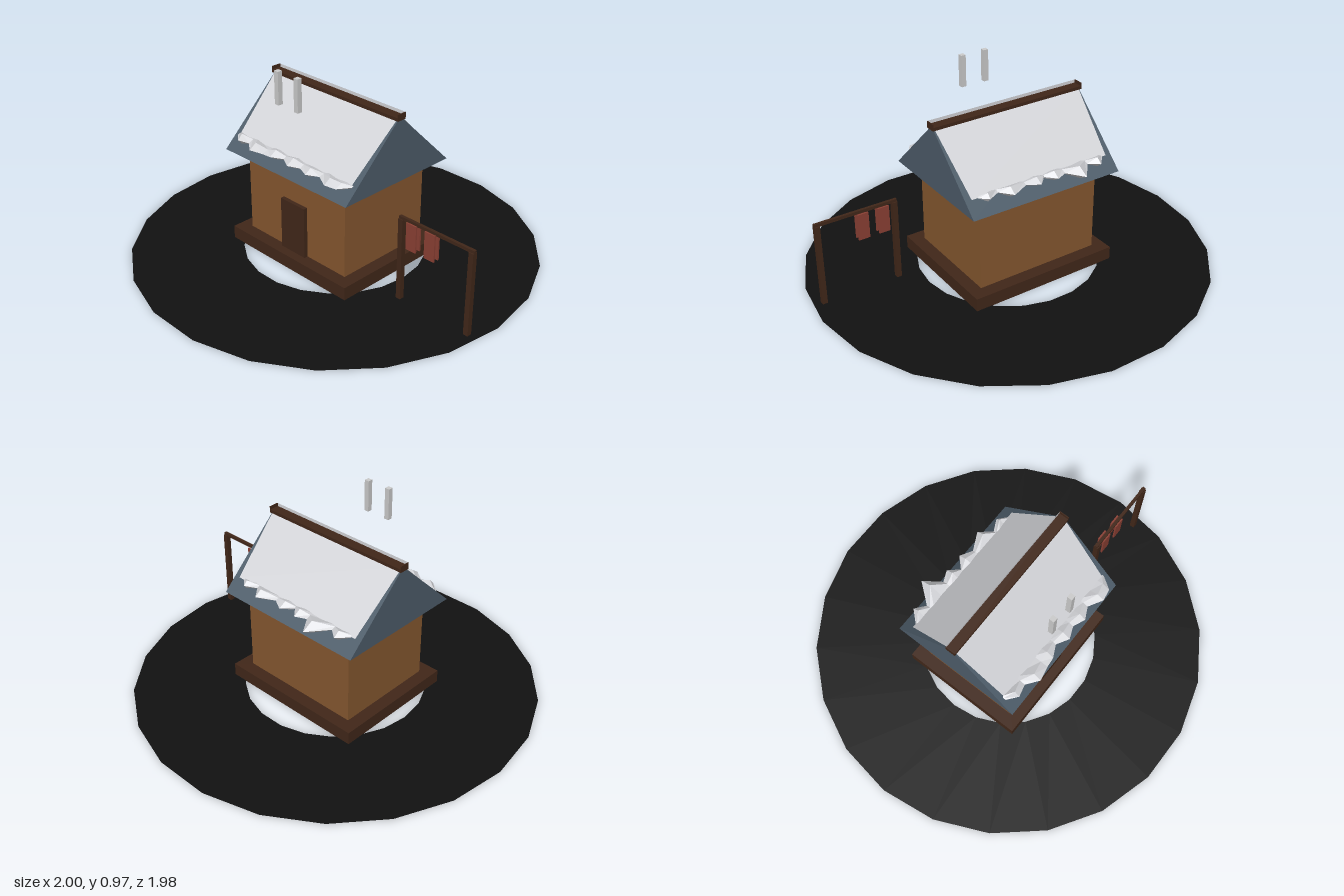
import * as THREE from 'three';

const mat = (color, side = THREE.FrontSide) =>
  new THREE.MeshStandardMaterial({ color, side, flatShading: true });

export function createModel() {
  const model = new THREE.Group();
  const darkWood = mat(0x412719), wall = mat(0x85572f), slate = mat(0x4d5c69);
  const snow = mat(0xd4d5d9, THREE.DoubleSide), meat = mat(0x8b4034);

  const add = (name, geometry, material) => {
    const mesh = new THREE.Mesh(geometry, material);
    mesh.name = name;
    model.add(mesh);
    return mesh;
  };
  // Box given by its min and max on each axis
  const box = (name, material, x0, x1, y0, y1, z0, z1) =>
    add(name, new THREE.BoxGeometry(x1 - x0, y1 - y0, z1 - z0), material)
      .position.set((x0 + x1) / 2, (y0 + y1) / 2, (z0 + z1) / 2);
  const surface = (points, index) => {
    const g = new THREE.BufferGeometry();
    g.setAttribute('position', new THREE.Float32BufferAttribute(points.flat(), 3));
    g.setIndex(index);
    g.computeVertexNormals();
    return g;
  };

  // Flat ground ring
  add('groundRing', new THREE.RingGeometry(0.45, 1, 22, 1).rotateX(-Math.PI / 2),
    mat(0x111111, THREE.DoubleSide)).position.y = 0.001;

  // House body
  box('plinth', darkWood, -0.387, 0.387, 0, 0.066, -0.325, 0.325);
  box('walls', wall, -0.323, 0.323, 0.066, 0.49, -0.26, 0.26);
  box('door', darkWood, -0.08, 0.077, 0.066, 0.328, 0.255, 0.28);

  // Gabled roof: a solid triangular prism along x
  const gable = new THREE.Shape([[-0.337, 0.49], [0.337, 0.49], [0, 0.812]]
    .map(([z, y]) => new THREE.Vector2(z, y)));
  add('roof', new THREE.ExtrudeGeometry(gable, { depth: 0.806, bevelEnabled: false })
    .translate(0, 0, -0.403).rotateY(Math.PI / 2), slate);

  // Ridge beam with a shallow snow-lined trough
  box('ridgeBeam', darkWood, -0.41, 0.41, 0.796, 0.812, -0.025, 0.025);
  const liner = mat(0xd4d5d9);
  for (const s of [-1, 1]) {
    const lip = add('ridgeSnow', new THREE.PlaneGeometry(0.82, 0.016), liner);
    lip.position.set(0, 0.82, s * 0.025);
    lip.rotation.y = s > 0 ? Math.PI : 0;
    box('ridgeEnd', darkWood, s * 0.409 - 0.002, s * 0.409 + 0.002, 0.796, 0.828, -0.025, 0.025);
  }

  // Snow sheet on each slope, tapering to the eave
  for (const s of [-1, 1]) {
    add('snowSheet', surface([
      [-0.4, 0.812, s * 0.005], [0.4, 0.812, s * 0.005],
      [0.372, 0.556, s * 0.273], [-0.372, 0.556, s * 0.273],
    ], s > 0 ? [0, 2, 1, 0, 3, 2] : [0, 1, 2, 0, 2, 3]), snow);
  }

  // Jagged snow along each eave: diamond sections swept along x, [x, reach, height]
  const drift = (s, stations) => {
    const points = [], index = [];
    stations.forEach(([x, reach, h], i) => {
      const inner = 0.255 + 0.012 * Math.sin(i * 2.4);
      points.push(
        [x, 0.56, s * inner],
        [x, 0.555 + h, s * (inner + (reach - inner) * 0.55)],
        [x, 0.555, s * reach],
        [x, 0.553 - h * 0.8, s * (inner + (reach - inner) * 0.6)]);
      if (i === 0) return;
      for (let k = 0; k < 4; k++) {
        const a = (i - 1) * 4 + k, b = (i - 1) * 4 + (k + 1) % 4;
        if (s > 0) index.push(a, b, b + 4, a, b + 4, a + 4);
        else index.push(a, b + 4, b, a, a + 4, b + 4);
      }
    });
    add('eaveSnow', surface(points, index), snow);
  };
  drift(1, [[-0.38, 0.28, 0.004], [-0.33, 0.32, 0.028], [-0.27, 0.305, 0.012], [-0.21, 0.35, 0.026],
    [-0.14, 0.335, 0.01], [-0.09, 0.33, 0.024], [-0.03, 0.3, 0.01], [0.03, 0.335, 0.026],
    [0.09, 0.31, 0.012], [0.15, 0.335, 0.022], [0.21, 0.305, 0.008], [0.28, 0.345, 0.024],
    [0.34, 0.335, 0.016], [0.38, 0.275, 0.004]]);
  drift(-1, [[-0.35, 0.275, 0.004], [-0.3, 0.33, 0.024], [-0.25, 0.29, 0.008], [-0.17, 0.39, 0.032],
    [-0.11, 0.305, 0.01], [-0.055, 0.33, 0.024], [-0.01, 0.28, 0.008], [0.04, 0.33, 0.022],
    [0.1, 0.295, 0.008], [0.19, 0.34, 0.026], [0.24, 0.28, 0.008], [0.3, 0.31, 0.022],
    [0.34, 0.275, 0.004]]);

  // Pair of slim floating flues
  for (const x of [-0.065, 0.061])
    box('flue', mat(0xbcbcbc), x - 0.0125, x + 0.0125, 0.814, 0.974, 0.277, 0.302);

  // Drying rack with strips hung over both sides of the bar
  for (const x of [0.545, 0.932])
    box('rackPost', darkWood, x - 0.0125, x + 0.0125, 0, 0.412, 0.117, 0.142);
  box('rackBar', darkWood, 0.533, 0.945, 0.41, 0.425, 0.122, 0.137);
  for (const x of [0.609, 0.713])
    for (const z of [0.113, 0.14])
      box('hangingStrip', meat, x - 0.028, x + 0.028, 0.28, 0.412, z - 0.004, z + 0.004);

  return model;
}
